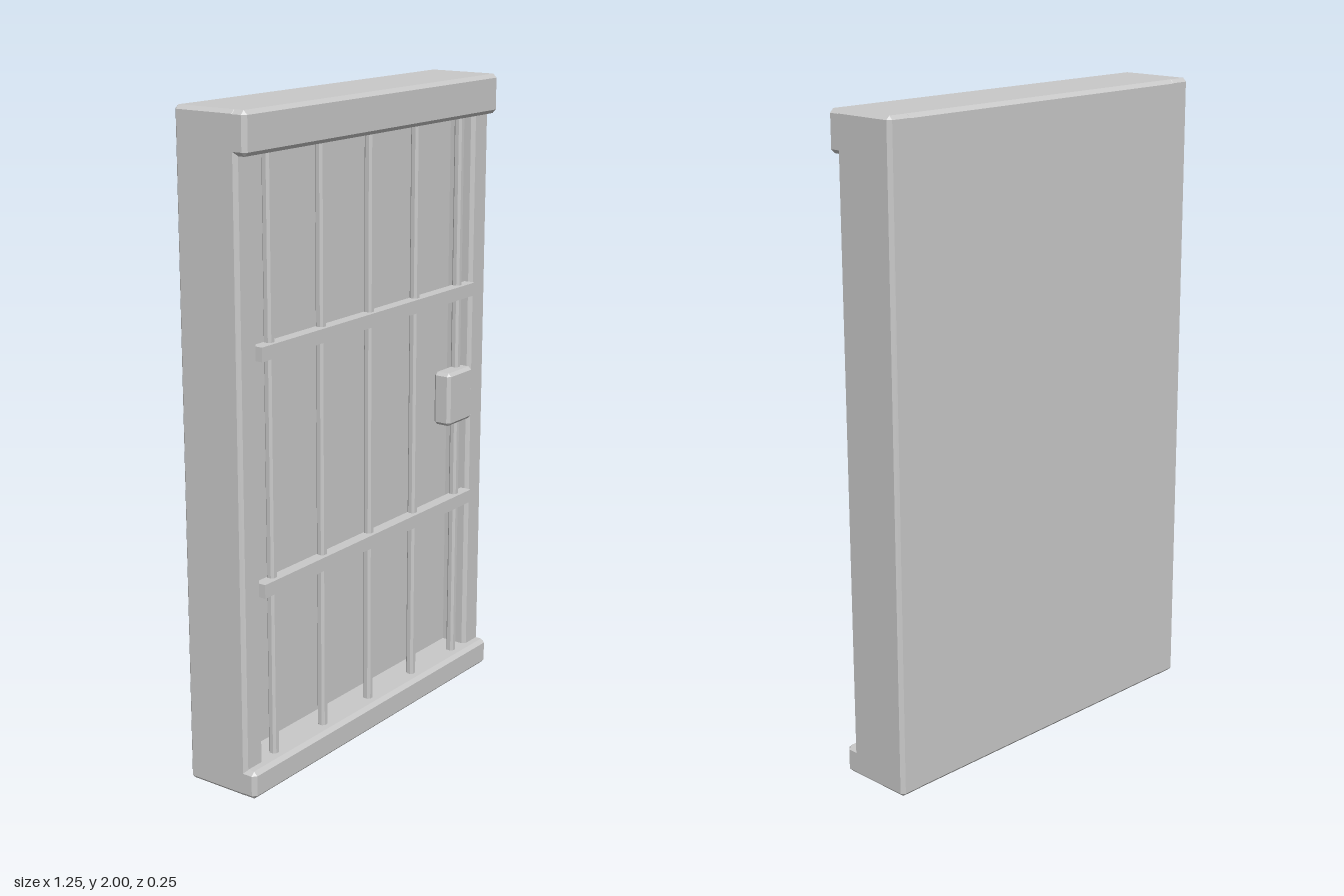
import * as THREE from 'three';
import { ConvexGeometry } from 'three/addons/geometries/ConvexGeometry.js';

const steel = new THREE.MeshStandardMaterial({ color: 0xc9c9c9 });
steel.name = 'grey steel';

// Box between two corners with every edge chamfered by c
function chamferBox(name, [x0, y0, z0], [x1, y1, z1], c) {
  const half = [(x1 - x0) / 2, (y1 - y0) / 2, (z1 - z0) / 2];
  let geometry;
  if (c > 0) {
    const points = [];
    for (const sx of [-1, 1]) for (const sy of [-1, 1]) for (const sz of [-1, 1]) {
      for (let axis = 0; axis < 3; axis++) {
        const h = half.map((v, i) => (i === axis ? v : v - c));
        points.push(new THREE.Vector3(sx * h[0], sy * h[1], sz * h[2]));
      }
    }
    geometry = new ConvexGeometry(points);
  } else {
    geometry = new THREE.BoxGeometry(...half.map((v) => v * 2));
  }
  const mesh = new THREE.Mesh(geometry, steel);
  mesh.name = name;
  mesh.position.set((x0 + x1) / 2, (y0 + y1) / 2, (z0 + z1) / 2);
  return mesh;
}

export function createModel() {
  const door = new THREE.Group();
  door.name = 'barredDoor';

  // Solid panel set back behind the bars
  door.add(chamferBox('backPanel', [-0.624, 0, -0.125], [0.624, 2, 0.005], 0.012));

  // Frame: two jambs, a lintel and a sill that stand proud at the front
  door.add(chamferBox('leftJamb', [0.538, 0, -0.125], [0.624, 2, 0.092], 0.011));
  door.add(chamferBox('rightJamb', [-0.624, 0, -0.125], [-0.541, 2, 0.092], 0.011));
  door.add(chamferBox('lintel', [-0.624, 1.877, -0.125], [0.624, 2, 0.125], 0.012));
  door.add(chamferBox('sill', [-0.624, 0, -0.125], [0.624, 0.087, 0.125], 0.012));

  // Upright bars
  for (let i = -2; i <= 2; i++) {
    const x = i * 0.238;
    door.add(chamferBox('uprightBar', [x - 0.0135, 0.06, 0.065], [x + 0.0135, 1.9, 0.092], 0.007));
  }

  // Flat cross bars
  for (const y of [0.622, 1.322]) {
    door.add(chamferBox('crossBar', [-0.54, y - 0.021, 0.067], [0.54, y + 0.021, 0.105], 0));
  }

  // Lock box
  door.add(chamferBox('lockBox', [0.376, 0.9, 0.06], [0.512, 1.074, 0.122], 0.01));

  return door;
}
